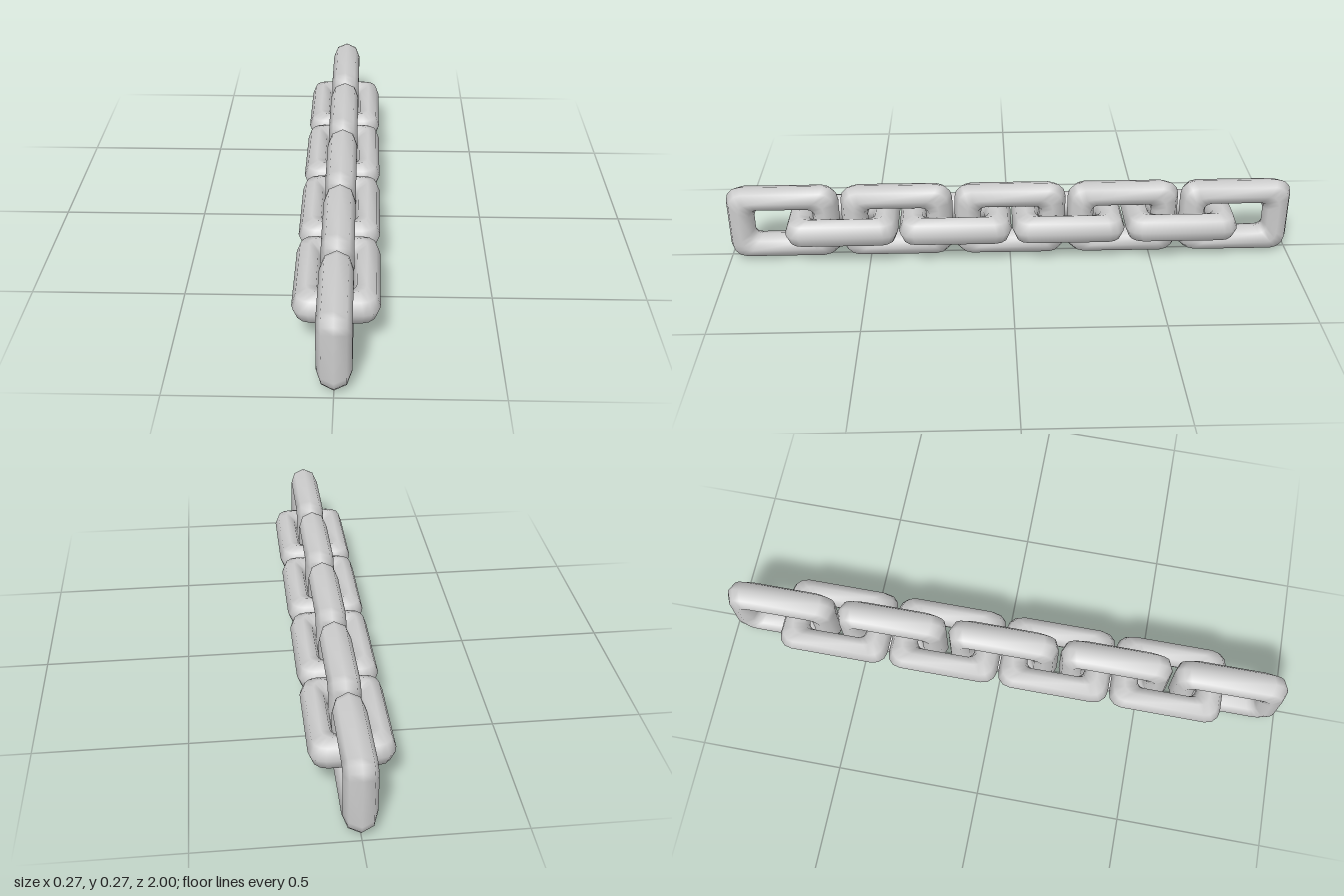
import * as THREE from 'three';

const HALF_L = 0.197, HALF_W = 0.135; // outer half length and half width of a link
const BAR_L = 0.094, BAR_W = 0.085;   // bar thickness at the ends and along the sides
const THICK = 0.053;                  // half thickness across the link plane
const R_OUT = 0.05, R_IN = 0.025;     // outer and inner corner radii
const SIDES = 8, STEPS = 3;

// One closed link: an oval section swept between an outer and an inner rounded rectangle.
// The link lies in the YZ plane, long along z.
function linkGeometry() {
  const rings = [];
  const corners = [[1, 1], [-1, 1], [-1, -1], [1, -1]];
  corners.forEach(([sz, sy], c) => {
    for (let k = 0; k <= STEPS; k++) {
      const a = (c + k / STEPS) * Math.PI / 2;
      const dz = Math.cos(a), dy = Math.sin(a);
      rings.push({
        oz: sz * (HALF_L - R_OUT) + R_OUT * dz,
        oy: sy * (HALF_W - R_OUT) + R_OUT * dy,
        iz: sz * (HALF_L - BAR_L - R_IN) + R_IN * dz,
        iy: sy * (HALF_W - BAR_W - R_IN) + R_IN * dy,
      });
    }
  });
  const pos = [], idx = [], n = rings.length;
  rings.forEach((r, i) => {
    for (let j = 0; j < SIDES; j++) {
      const t = j / SIDES * Math.PI * 2;
      const f = (1 + Math.cos(t)) / 2; // 1 on the outside, 0 on the inside
      pos.push(THICK * Math.sin(t), r.iy + (r.oy - r.iy) * f, r.iz + (r.oz - r.iz) * f);
      const i2 = (i + 1) % n, j2 = (j + 1) % SIDES;
      const a = i * SIDES + j, b = i2 * SIDES + j, c = i2 * SIDES + j2, d = i * SIDES + j2;
      idx.push(a, d, b, b, d, c);
    }
  });
  const g = new THREE.BufferGeometry();
  g.setAttribute('position', new THREE.Float32BufferAttribute(pos, 3));
  g.setIndex(idx);
  g.computeVertexNormals();
  return g;
}

export function createModel() {
  const group = new THREE.Group();
  group.name = 'chain';
  const geometry = linkGeometry();
  const material = new THREE.MeshStandardMaterial({ color: 0xcccccc });

  const addLink = (name, z, roll) => {
    const link = new THREE.Mesh(geometry, material);
    link.name = name;
    link.position.set(0, 0.136, z);
    link.rotation.z = roll;
    group.add(link);
  };

  // Five upright links
  for (let i = 0; i < 5; i++) addLink(`uprightLink${i + 1}`, 0.803 - i * 0.4015, 0);
  // Four flat links threaded between them
  for (let i = 0; i < 4; i++) addLink(`flatLink${i + 1}`, 0.592 - i * 0.398, Math.PI / 2);

  return group;
}
